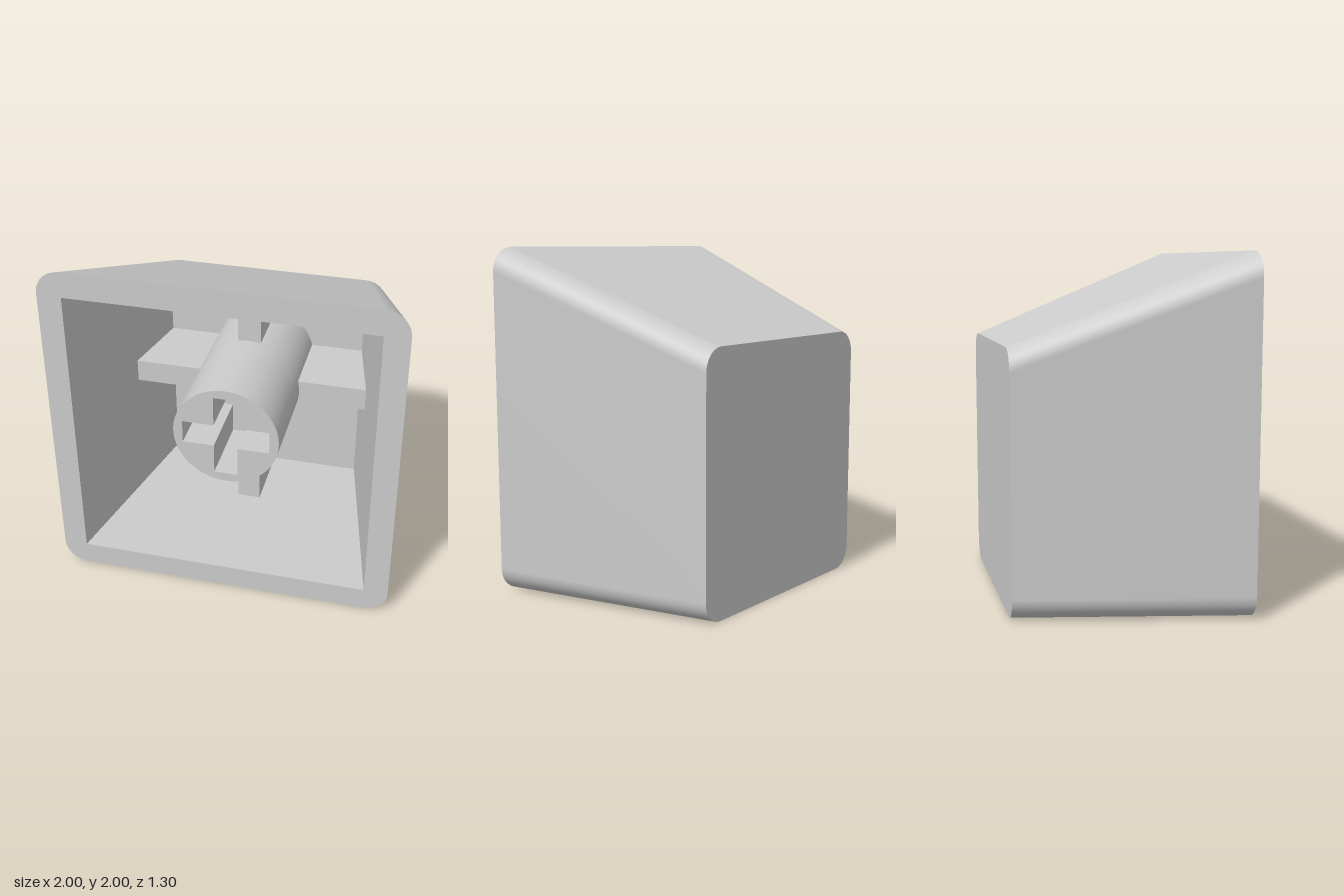
import * as THREE from 'three';
import { toCreasedNormals } from 'three/addons/utils/BufferGeometryUtils.js';

const FRONT = 0.65, BACK = -0.65, FLOOR = -0.5, RIB = -0.05;
const STEM_FRONT = 0.52, SLOT_END = 0.08, STEM_Y = 1.0;

const material = new THREE.MeshStandardMaterial({ color: 0xcccccc });

// Counter-clockwise rectangle outline with optional rounded corners
function rectPoints(halfW, y0, y1, r = 0, steps = 10) {
  const points = [];
  [[1, 1], [-1, 1], [-1, -1], [1, -1]].forEach(([sx, sy], i) => {
    const cx = sx * (halfW - r), cy = sy > 0 ? y1 - r : y0 + r;
    const n = r ? steps : 0;
    for (let k = 0; k <= n; k++) {
      const a = (i + (n ? k / n : 0)) * Math.PI / 2;
      points.push(new THREE.Vector2(cx + r * Math.cos(a), cy + r * Math.sin(a)));
    }
  });
  return points;
}

// Skin between two outlines of equal point count, facing outward or inward
function loft(front, zFront, back, zBack, inward = false) {
  const n = front.length, positions = [], index = [];
  front.forEach(p => positions.push(p.x, p.y, zFront));
  back.forEach(p => positions.push(p.x, p.y, zBack));
  for (let i = 0; i < n; i++) {
    const j = (i + 1) % n;
    if (inward) index.push(i, j, n + i, j, n + j, n + i);
    else index.push(i, n + i, j, j, n + i, n + j);
  }
  const geometry = new THREE.BufferGeometry();
  geometry.setAttribute('position', new THREE.Float32BufferAttribute(positions, 3));
  geometry.setIndex(index);
  const result = inward ? geometry.toNonIndexed() : geometry;
  result.computeVertexNormals();
  return result;
}

function extrude(shape, depth) {
  return new THREE.ExtrudeGeometry(shape, { depth, bevelEnabled: false, curveSegments: 32 });
}

export function createModel() {
  const model = new THREE.Group();
  model.name = 'keycap';
  const add = (name, geometry, parent = model) => {
    const mesh = new THREE.Mesh(geometry, material);
    mesh.name = name;
    parent.add(mesh);
    return mesh;
  };

  // Hollow shell: tapered outside, tapered cavity opening to the front
  const shell = new THREE.Group();
  shell.name = 'shell';
  model.add(shell);
  const outerFront = rectPoints(1, 0, 2, 0.14);
  const outerBack = rectPoints(0.73, 0, 1.49, 0.13);
  const innerFront = rectPoints(0.86, 0.14, 1.85);
  const innerBack = rectPoints(0.62, 0.14, 1.4);

  add('outerWalls', loft(outerFront, FRONT, outerBack, BACK), shell);
  add('cavityWalls', loft(innerFront, FRONT, innerBack, FLOOR, true), shell);

  const rimShape = new THREE.Shape(outerFront);
  rimShape.holes.push(new THREE.Path(innerFront));
  add('rim', new THREE.ShapeGeometry(rimShape), shell).position.z = FRONT;
  add('cavityFloor', new THREE.ShapeGeometry(new THREE.Shape(innerBack)), shell).position.z = FLOOR;

  const backFace = add('backFace', new THREE.ShapeGeometry(new THREE.Shape(outerBack)), shell);
  backFace.rotation.y = Math.PI;
  backFace.position.z = BACK;

  // Round stem: solid core, then a front section with a cross-shaped slot
  const stem = new THREE.Group();
  stem.name = 'stem';
  stem.position.y = STEM_Y;
  model.add(stem);
  const disc = () => new THREE.Shape().absarc(0, 0, 0.31, 0, Math.PI * 2);
  add('stemCore', toCreasedNormals(extrude(disc(), SLOT_END - FLOOR), 0.5), stem).position.z = FLOOR;

  const slotted = disc();
  const a = 0.255, t = 0.07;
  slotted.holes.push(new THREE.Path([
    [a, -t], [a, t], [t, t], [t, a], [-t, a], [-t, t],
    [-a, t], [-a, -t], [-t, -t], [-t, -a], [t, -a], [t, -t],
  ].map(([x, y]) => new THREE.Vector2(x, y))));
  add('slottedStemEnd', toCreasedNormals(extrude(slotted, STEM_FRONT - SLOT_END), 0.5), stem).position.z = SLOT_END;

  // Support ribs whose ends follow the sloping cavity walls
  const ribShape = (lowBack, lowFront, highFront, highBack) => new THREE.Shape([
    new THREE.Vector2(lowBack, -FLOOR), new THREE.Vector2(highBack, -FLOOR),
    new THREE.Vector2(highFront, -RIB), new THREE.Vector2(lowFront, -RIB),
  ]);

  // Profile plane is (x, -z), extruded along y
  const crossRib = extrude(ribShape(-0.62, -0.715, 0.715, 0.62), 2 * t);
  crossRib.rotateX(-Math.PI / 2);
  add('horizontalRib', crossRib).position.y = STEM_Y - t;

  // Same profile plane, turned so its length runs up y
  const uprightRib = extrude(ribShape(0.14, 0.14, 1.57, 1.4), 2 * t);
  uprightRib.rotateX(-Math.PI / 2).rotateZ(Math.PI / 2);
  add('verticalRib', uprightRib).position.x = t;

  return model;
}
